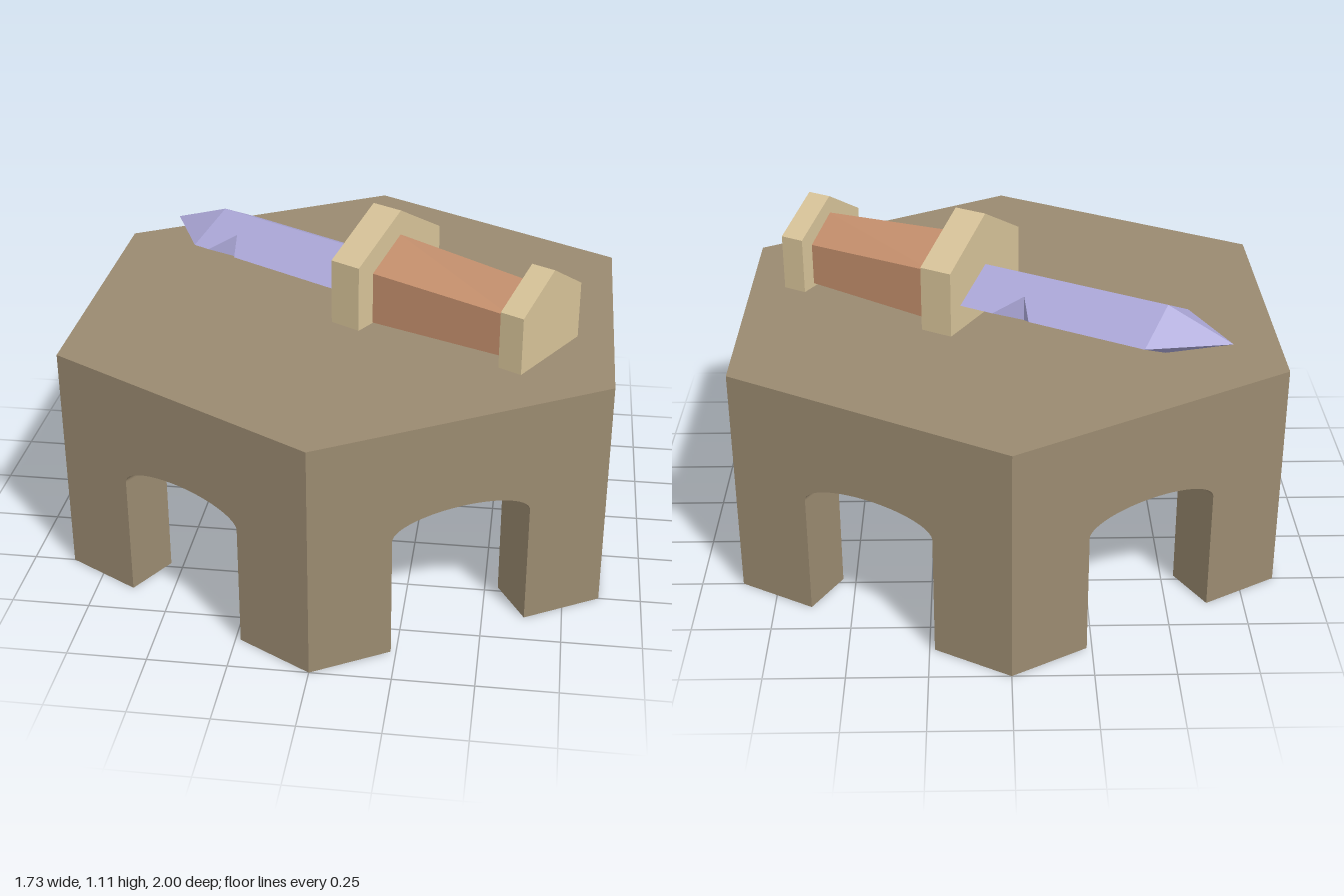
import * as THREE from 'three';

const mat = (name, color) => {
  const m = new THREE.MeshStandardMaterial({ color });
  m.name = name;
  return m;
};

const TOP = 0.765, CEILING = 0.52, APOTHEM = Math.cos(Math.PI / 6), WALL = 0.18;

function part(name, geometry, material) {
  const mesh = new THREE.Mesh(geometry, material);
  mesh.name = name;
  return mesh;
}

// Flat-faced skin over cross-sections [x, [[z, y], ...]], closed at both ends
function loft(sections) {
  const n = sections[0][1].length, pos = [], index = [];
  for (const [x, pts] of sections) for (const [z, y] of pts) pos.push(x, y, z);
  for (let i = 0; i < sections.length - 1; i++) {
    for (let j = 0; j < n; j++) {
      const a = i * n + j, b = i * n + (j + 1) % n;
      index.push(a, b, b + n, a, b + n, a + n);
    }
  }
  const last = (sections.length - 1) * n;
  for (let j = 1; j < n - 1; j++) {
    index.push(0, j + 1, j, last, last + j, last + j + 1);
  }
  const g = new THREE.BufferGeometry();
  g.setAttribute('position', new THREE.Float32BufferAttribute(pos, 3));
  g.setIndex(index);
  const flat = g.toNonIndexed();
  flat.computeVertexNormals();
  return flat;
}

// House-shaped section: upright sides and a peaked top
const house = (w, base, shoulder, peak) =>
  [[0, peak], [w, shoulder], [w, base], [-w, base], [-w, shoulder]];

// One arched side of the table, mitred at its inner corners
function wallGeometry() {
  const s = new THREE.Shape();
  s.moveTo(-0.5, 0);
  s.lineTo(-0.23, 0);
  s.lineTo(-0.23, 0.4);
  s.absellipse(0, 0.4, 0.23, 0.07, Math.PI, 0, true);
  s.lineTo(0.23, 0);
  s.lineTo(0.5, 0);
  s.lineTo(0.5, CEILING);
  s.lineTo(-0.5, CEILING);
  s.closePath();
  const g = new THREE.ExtrudeGeometry(s, { depth: WALL, bevelEnabled: false, curveSegments: 24 });
  const p = g.attributes.position;
  const inner = 0.5 - WALL * Math.tan(Math.PI / 6);
  for (let i = 0; i < p.count; i++) {
    const x = p.getX(i);
    if (p.getZ(i) < 0.01 && Math.abs(x) > 0.49) p.setX(i, Math.sign(x) * inner);
  }
  g.translate(0, 0, APOTHEM - WALL);
  g.computeVertexNormals();
  return g;
}

// Diamond blade section; a narrowed side is cut off upright to form a notch
function bladeSection(x, wPos, wNeg, h = 0.083) {
  const mid = TOP + 0.085, W = 0.165;
  const eP = h * (1 - wPos / W), eN = h * (1 - wNeg / W);
  return [x, [[0, mid + h], [wPos, mid + eP], [wPos, mid - eP],
    [0, mid - h], [-wNeg, mid - eN], [-wNeg, mid + eN]]];
}

export function createModel() {
  const stone = mat('stone brown', 0x9a8a70);
  const steel = mat('pale violet steel', 0xaaa6d6);
  const leather = mat('copper leather', 0xc48f6c);
  const brass = mat('sandy brass', 0xd6c298);

  const model = new THREE.Group();
  model.name = 'swordTable';

  // Hexagonal table
  const table = new THREE.Group();
  table.name = 'table';
  const slab = new THREE.CylinderGeometry(1, 1, TOP - CEILING, 6).toNonIndexed();
  slab.computeVertexNormals();
  slab.translate(0, (TOP + CEILING) / 2, 0);
  table.add(part('tableTop', slab, stone));
  const wall = wallGeometry();
  for (let k = 0; k < 6; k++) {
    const side = part('archedSide', wall, stone);
    side.rotation.y = Math.PI / 6 + k * Math.PI / 3;
    table.add(side);
  }
  model.add(table);

  // Sword lying across the table, its x axis running from tip to pommel
  const sword = new THREE.Group();
  sword.name = 'sword';
  sword.position.set(0.115, 0, -0.016);
  sword.rotation.y = -Math.PI / 6;

  const F = 0.165, N = 0.083;
  sword.add(part('blade', loft([
    bladeSection(-0.929, 0, 0, 0),
    bladeSection(-0.706, F, F),
    bladeSection(-0.642, F, F),
    bladeSection(-0.581, N, F),
    bladeSection(-0.525, F, F),
    bladeSection(-0.304, F, F),
    bladeSection(-0.244, F, N),
    bladeSection(-0.173, F, F),
    bladeSection(-0.05, F, F),
  ]), steel));

  const guard = house(0.225, TOP, 0.983, 1.11);
  sword.add(part('crossguard', loft([[-0.055, guard], [0.055, guard]]), brass));

  sword.add(part('grip', loft([
    [0.05, house(0.15, TOP + 0.001, 0.94, 1.027)],
    [0.56, house(0.115, TOP + 0.012, 0.918, 0.995)],
  ]), leather));

  const pommel = house(0.17, TOP, 0.953, 1.055);
  sword.add(part('pommel', loft([[0.554, pommel], [0.636, pommel]]), brass));

  model.add(sword);
  return model;
}
